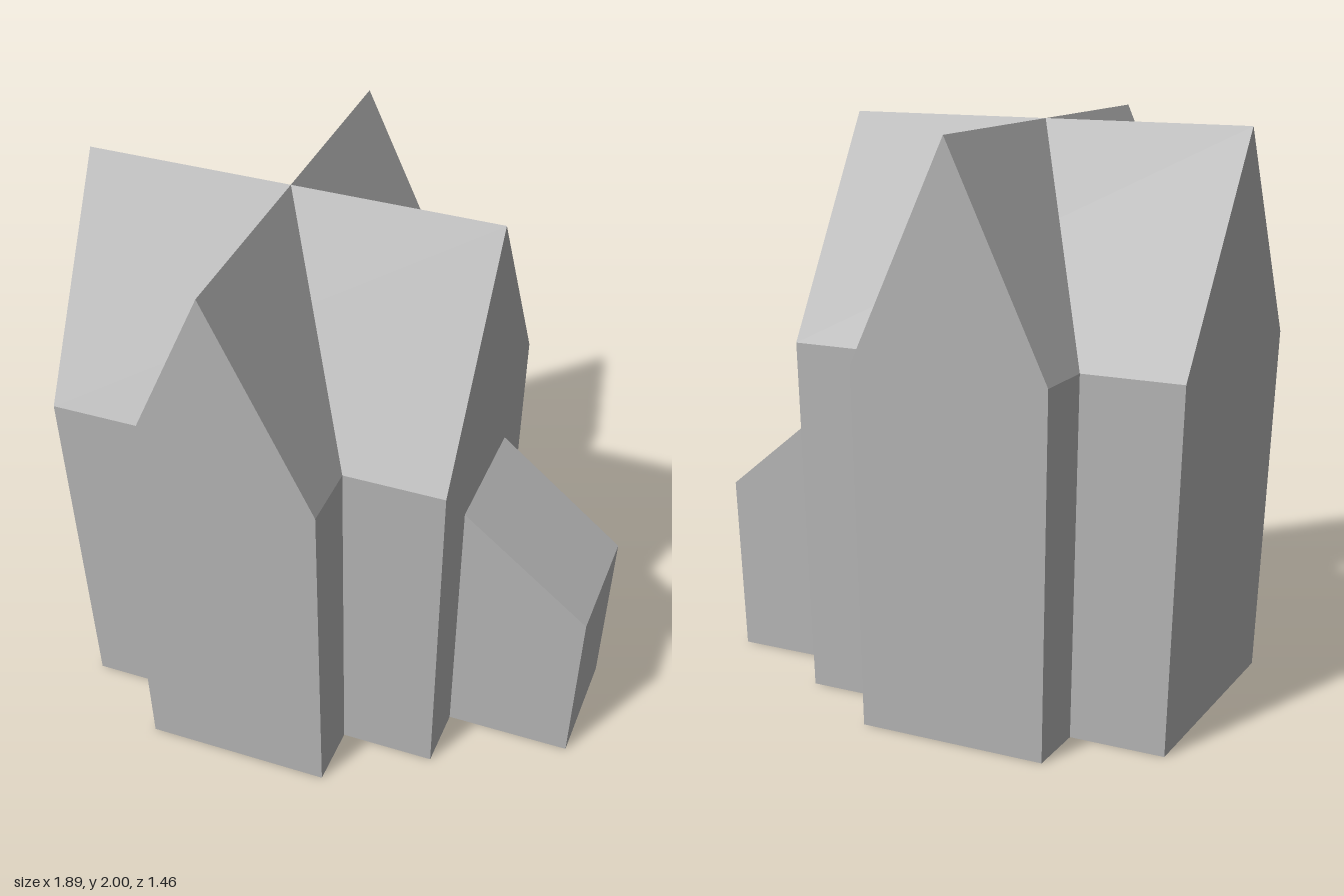
import * as THREE from 'three';

const HEIGHT = 2, EAVES = 1.25, CENTRE_X = -0.217;

// Everything narrows slightly towards the ground.
function taper(geometry) {
  const p = geometry.attributes.position;
  for (let i = 0; i < p.count; i++) {
    const s = 0.917 + 0.0415 * p.getY(i);
    p.setX(i, p.getX(i) * s);
    p.setZ(i, p.getZ(i) * s);
  }
  geometry.computeVertexNormals();
  return geometry;
}

// Extrudes an outline, centred along z.
function prism(points, depth) {
  const shape = new THREE.Shape(points.map(([x, y]) => new THREE.Vector2(x, y)));
  return new THREE.ExtrudeGeometry(shape, { depth, bevelEnabled: false }).translate(0, 0, -depth / 2);
}

// House-shaped wing with a pitched roof.
function gabledWing(halfWidth, length) {
  return prism([
    [-halfWidth, 0], [halfWidth, 0], [halfWidth, EAVES], [0, HEIGHT], [-halfWidth, EAVES],
  ], length);
}

export function createModel() {
  const group = new THREE.Group();
  group.name = 'house';
  const stone = new THREE.MeshStandardMaterial({ color: 0xb4b4b4 });
  stone.name = 'grey stone';

  const add = (name, geometry) => {
    const mesh = new THREE.Mesh(taper(geometry), stone);
    mesh.name = name;
    group.add(mesh);
  };

  // Two crossing wings with ridges at the same height
  add('frontToBackWing', gabledWing(0.362, 1.455).translate(CENTRE_X, 0, 0));
  add('sideToSideWing', gabledWing(0.485, 1.456).rotateY(Math.PI / 2).translate(CENTRE_X, 0, 0));

  // Low lean-to against the left gable
  add('leanTo', prism([[0.45, 0], [0.998, 0], [0.998, 0.63], [0.511, 1], [0.45, 1]], 0.48));

  return group;
}
